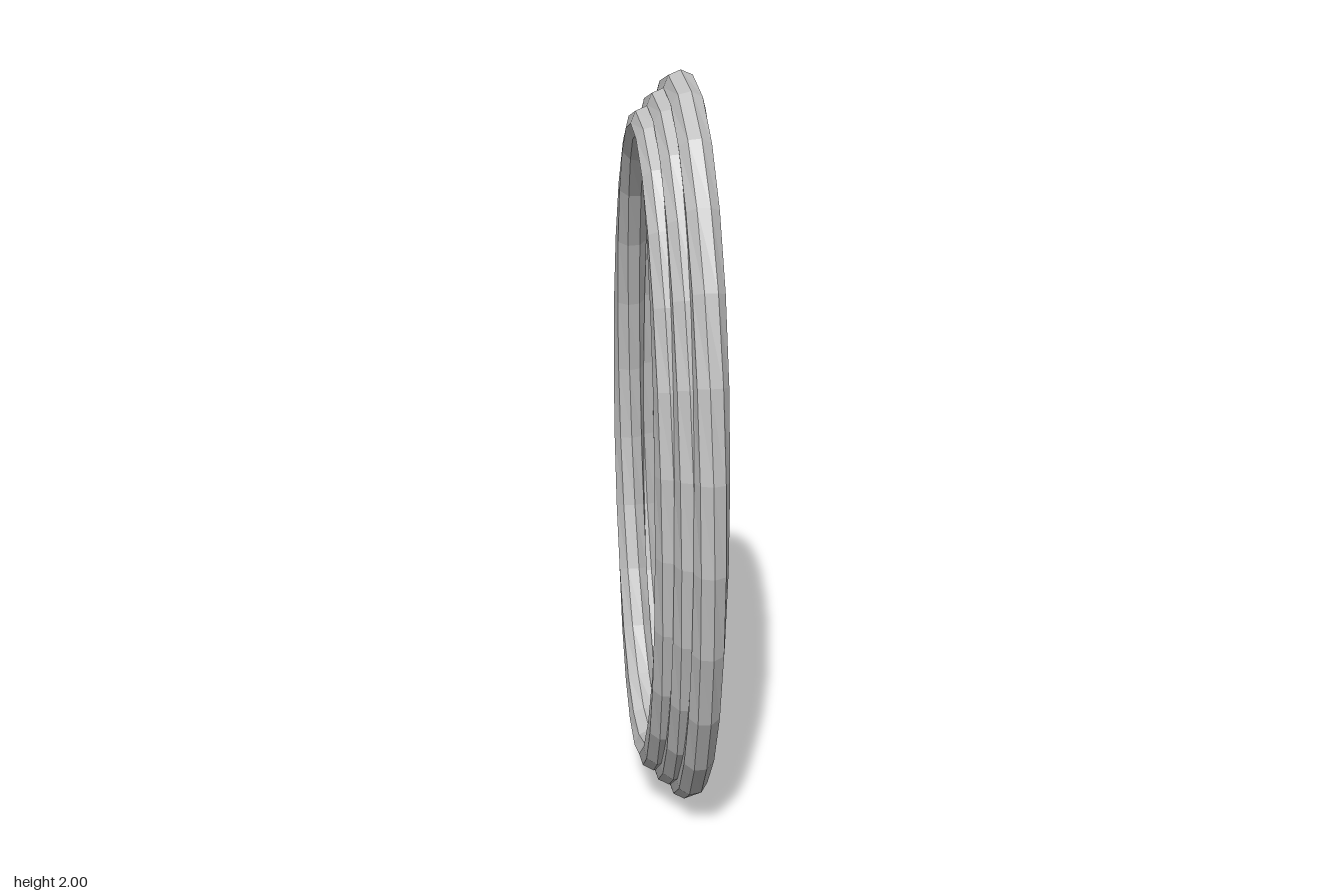
import * as THREE from 'three';

const SEGMENTS = 26; // steps around the oval
const SIDES = 8;     // sides of the tube
const TUBE = 0.043;  // tube radius

// Closed oval tube in the y-z plane whose eight-sided section turns half a turn on its way round
function ovalTube(radiusY, radiusZ) {
  const positions = [];
  const index = [];
  for (let i = 0; i <= SEGMENTS; i++) {
    const t = (i / SEGMENTS) * Math.PI * 2;
    const normal = new THREE.Vector2(Math.cos(t) / radiusY, Math.sin(t) / radiusZ).normalize();
    for (let j = 0; j < SIDES; j++) {
      const a = (j / SIDES) * Math.PI * 2 + t / 2;
      const out = TUBE * Math.cos(a);
      positions.push(
        TUBE * Math.sin(a),
        radiusY * Math.cos(t) + normal.x * out,
        radiusZ * Math.sin(t) + normal.y * out
      );
    }
  }
  for (let i = 0; i < SEGMENTS; i++) {
    for (let j = 0; j < SIDES; j++) {
      const k = (j + 1) % SIDES;
      const a = i * SIDES + j;
      const b = (i + 1) * SIDES + j;
      const c = (i + 1) * SIDES + k;
      const d = i * SIDES + k;
      index.push(a, b, c, a, c, d);
    }
  }
  const geometry = new THREE.BufferGeometry();
  geometry.setAttribute('position', new THREE.Float32BufferAttribute(positions, 3));
  geometry.setIndex(index);
  const flat = geometry.toNonIndexed();
  flat.computeVertexNormals();
  return flat;
}

export function createModel() {
  const model = new THREE.Group();
  model.name = 'steppedOvalFrame';

  const grey = new THREE.MeshStandardMaterial({ color: 0xc0c0c0, flatShading: true });
  grey.name = 'grey';

  // Three overlapping rings, each smaller and further to the right
  ['outerRing', 'middleRing', 'innerRing'].forEach((name, i) => {
    const ring = new THREE.Mesh(ovalTube(0.957 - i * 0.043, 0.542 - i * 0.043), grey);
    ring.name = name;
    ring.position.set(0.041 - i * 0.041, 1, 0);
    model.add(ring);
  });

  return model;
}
